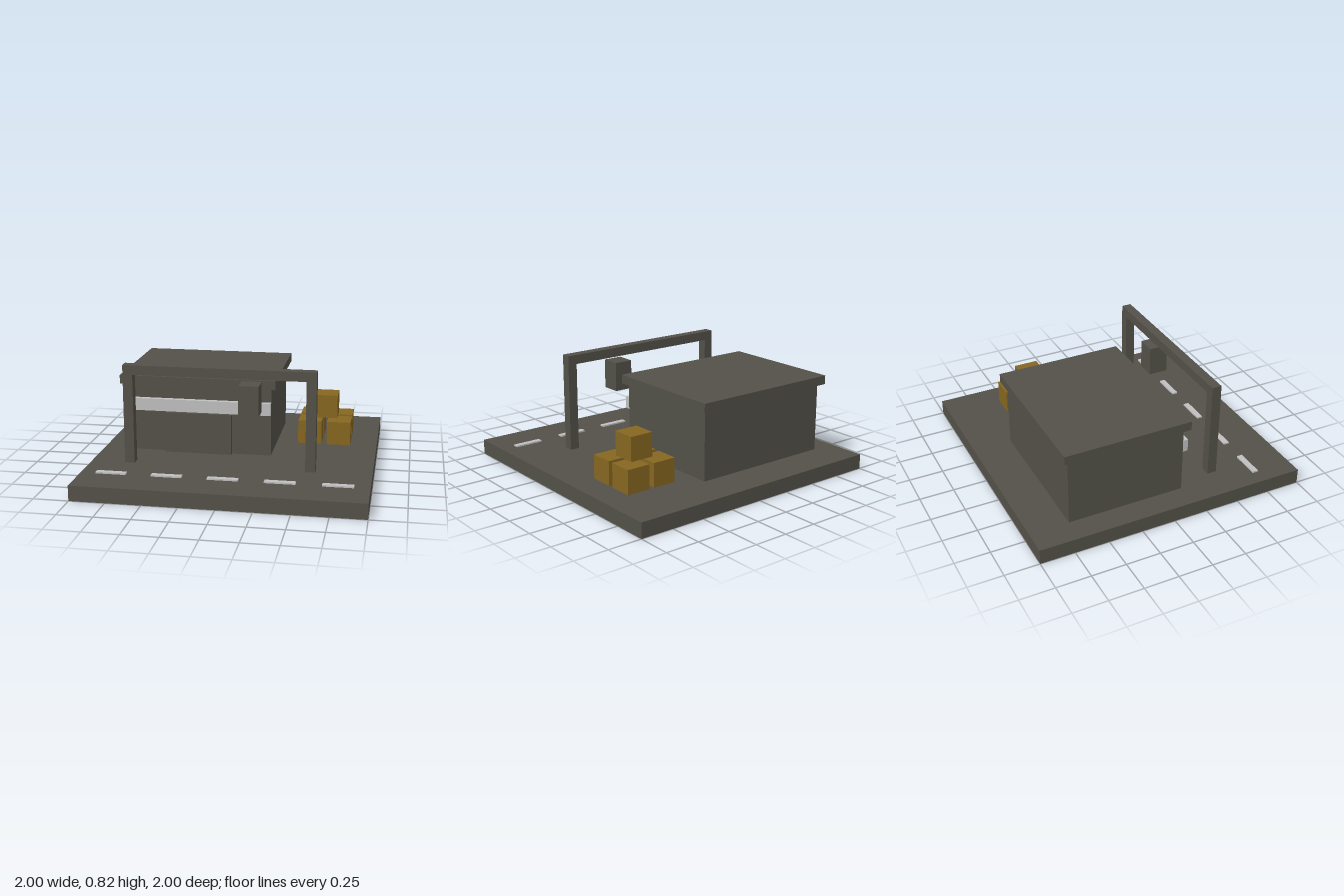
import * as THREE from 'three';

export function createModel() {
  const model = new THREE.Group();
  model.name = 'depot';

  const mat = (name, color) => {
    const m = new THREE.MeshStandardMaterial({ color });
    m.name = name;
    return m;
  };
  const concrete = mat('darkOlive', 0x535148);
  const wood = mat('ochre', 0x876721);
  const paint = mat('lightGrey', 0xc0c0c0);

  // Box given by its extents along each axis
  const box = (name, material, [x0, x1], [y0, y1], [z0, z1], parent = model) => {
    const mesh = new THREE.Mesh(new THREE.BoxGeometry(x1 - x0, y1 - y0, z1 - z0), material);
    mesh.position.set((x0 + x1) / 2, (y0 + y1) / 2, (z0 + z1) / 2);
    mesh.name = name;
    parent.add(mesh);
    return mesh;
  };
  const group = (name) => {
    const g = new THREE.Group();
    g.name = name;
    model.add(g);
    return g;
  };

  const ground = 0.11;
  box('base', concrete, [-1, 1], [0, ground], [-1, 1]);

  // Shed with overhanging roof, door and fascia strip
  const shed = group('shed');
  box('walls', concrete, [-0.82, 0.25], [ground, 0.613], [-0.713, 0.143], shed);
  box('roof', concrete, [-0.86, 0.285], [0.613, 0.678], [-0.75, 0.18], shed);
  box('door', concrete, [-0.535, -0.037], [ground, 0.41], [0.14, 0.176], shed);
  box('fasciaStrip', paint, [-0.82, 0.25], [0.42, 0.51], [0.143, 0.181], shed);

  // Gantry frame with hoist
  const gantry = group('gantry');
  const depth = [0.394, 0.464];
  for (const x of [-0.72, 0.57]) {
    box('post', concrete, [x - 0.035, x + 0.035], [ground, 0.755], depth, gantry);
  }
  box('beam', concrete, [-0.755, 0.605], [0.755, 0.823], depth, gantry);
  box('hoist', concrete, [0.07, 0.212], [0.5, 0.716], [0.359, 0.5], gantry);

  // Stack of crates
  const crates = group('crates');
  const half = 0.088;
  const crate = (x, y, z) =>
    box('crate', wood, [x - half, x + half], [y, y + 2 * half], [z - half, z + half], crates);
  for (const x of [0.498, 0.714]) {
    for (const z of [-0.503, -0.288]) crate(x, ground, z);
  }
  crate(0.606, ground + 2 * half, -0.395);

  // Dashed lane marking
  const lane = group('laneMarking');
  for (let i = -2; i <= 2; i++) {
    const x = i * 0.392;
    box('dash', paint, [x - 0.107, x + 0.107], [ground, 0.121], [0.689, 0.731], lane);
  }

  return model;
}
